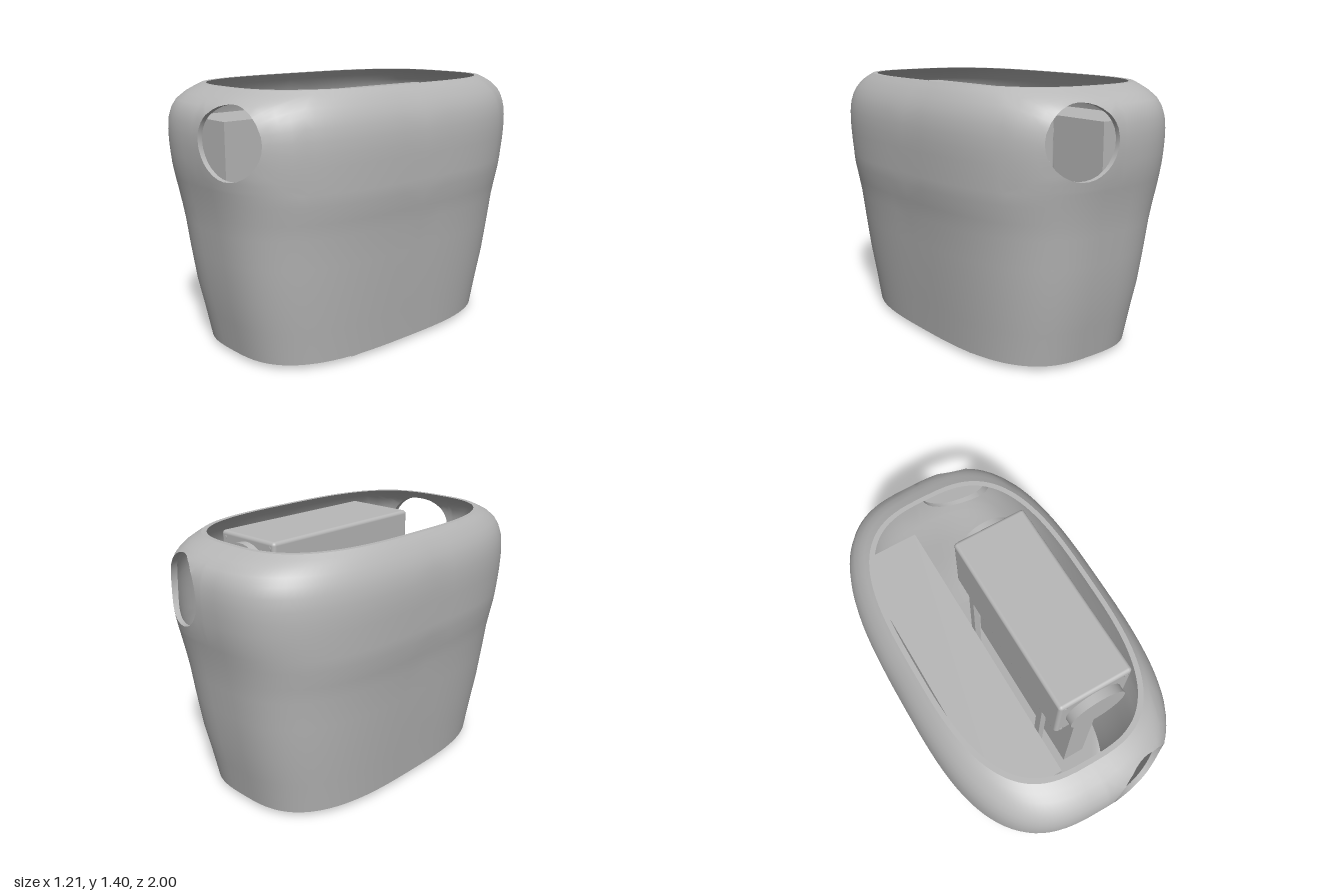
import * as THREE from 'three';
import { mergeVertices } from 'three/addons/utils/BufferGeometryUtils.js';
import { RoundedBoxGeometry } from 'three/addons/geometries/RoundedBoxGeometry.js';

// Housing cross-sections: height, half width, half depth
const ROWS = [
  [0.025, 0.49, 0.815], [0.2, 0.51, 0.85], [0.36, 0.53, 0.885], [0.55, 0.55, 0.912], [0.7, 0.566, 0.93],
  [0.78, 0.58, 0.942], [0.87, 0.596, 0.958], [0.93, 0.599, 0.972], [1.0, 0.601, 0.986], [1.06, 0.603, 0.993],
  [1.12, 0.604, 0.998], [1.18, 0.601, 1.0], [1.24, 0.593, 0.996], [1.29, 0.576, 0.983], [1.33, 0.556, 0.958],
  [1.365, 0.533, 0.91], [1.385, 0.517, 0.868], [1.405, 0.5, 0.82],
];
const POWER = 3, WALL = 0.025, STEPS = 48;
const PORT = { x: 0.225, y: 1.165, r: 0.18 };
const PATCH = { i0: 10, i1: 24, j0: 7, j1: 16 }; // grid cells replaced around a port

function halfSizes(y, inset) {
  let k = 0;
  while (k < ROWS.length - 2 && y > ROWS[k + 1][0]) k++;
  const [y0, a0, b0] = ROWS[k], [y1, a1, b1] = ROWS[k + 1];
  const t = (y - y0) / (y1 - y0);
  return [a0 + (a1 - a0) * t - inset, b0 + (b1 - b0) * t - inset];
}

// Point on the front half of the wall from x and height
function wallPoint(x, y, inset) {
  const [a, b] = halfSizes(y, inset);
  const q = Math.min(1, Math.abs(x) / a);
  return [x, y, b * Math.pow(Math.max(0, 1 - q ** POWER), 1 / POWER)];
}

// Point on the wall from angle step and row
function gridPoint(i, j, inset) {
  const y = ROWS[j][0], [a, b] = halfSizes(y, inset);
  const c = i === STEPS / 2 ? 0 : Math.cos((i / STEPS) * Math.PI);
  const s = i === 0 || i === STEPS ? 0 : Math.sin((i / STEPS) * Math.PI);
  return [Math.sign(c) * a * Math.abs(c) ** (2 / POWER), y, b * s ** (2 / POWER)];
}

// Collects patches for the front half and mirrors each to the back
function makeSurface() {
  const pos = [];
  const tri = (p, q, r) => {
    pos.push(...p, ...q, ...r);
    for (const v of [p, r, q]) pos.push(v[0], v[1], -v[2]);
  };
  return {
    quad(p00, p10, p11, p01, flip) {
      if (flip) [p10, p01] = [p01, p10];
      tri(p00, p10, p11);
      tri(p00, p11, p01);
    },
    geometry() {
      const g = new THREE.BufferGeometry();
      g.setAttribute('position', new THREE.Float32BufferAttribute(pos, 3));
      const merged = mergeVertices(g, 1e-4);
      merged.computeVertexNormals();
      return merged;
    },
  };
}

// Grid steps around the rim of the port patch
function patchLoop() {
  const { i0, i1, j0, j1 } = PATCH, loop = [];
  for (let i = i0; i < i1; i++) loop.push([i, j1]);
  for (let j = j1; j > j0; j--) loop.push([i1, j]);
  for (let i = i1; i > i0; i--) loop.push([i, j0]);
  for (let j = j0; j < j1; j++) loop.push([i0, j]);
  return loop;
}
const LOOP = patchLoop();
const PORT_XY = LOOP.map(([i, j]) => {
  const p = gridPoint(i, j, 0);
  const t = Math.atan2(p[1] - PORT.y, p[0] - PORT.x);
  return [PORT.x + PORT.r * Math.cos(t), PORT.y + PORT.r * Math.sin(t)];
});

function wallGeometry(inset, flip) {
  const s = makeSurface();
  const P = (i, j) => gridPoint(i, j, inset);
  for (let i = 0; i < STEPS; i++) for (let j = 0; j < ROWS.length - 1; j++) {
    if (i >= PATCH.i0 && i < PATCH.i1 && j >= PATCH.j0 && j < PATCH.j1) continue;
    s.quad(P(i, j), P(i, j + 1), P(i + 1, j + 1), P(i + 1, j), flip);
  }
  // Rings blending the round port into the wall grid
  const RINGS = 4;
  const R = (k, n) => {
    n %= LOOP.length;
    const edge = P(...LOOP[n]), t = k / RINGS;
    if (k === RINGS) return edge;
    const [hx, hy] = PORT_XY[n];
    return wallPoint(hx + (edge[0] - hx) * t, hy + (edge[1] - hy) * t, inset);
  };
  for (let k = 0; k < RINGS; k++) for (let n = 0; n < LOOP.length; n++)
    s.quad(R(k, n), R(k + 1, n), R(k + 1, n + 1), R(k, n + 1), flip);
  return s.geometry();
}

// Flat rim joining the outer and inner wall at one row
function rimGeometry(j, flip) {
  const s = makeSurface();
  for (let i = 0; i < STEPS; i++)
    s.quad(gridPoint(i, j, 0), gridPoint(i, j, WALL), gridPoint(i + 1, j, WALL), gridPoint(i + 1, j, 0), flip);
  return s.geometry();
}

// Cut edge of the ports through the wall
function portEdgeGeometry() {
  const s = makeSurface();
  const H = (n, inset) => wallPoint(...PORT_XY[n % LOOP.length], inset);
  for (let n = 0; n < LOOP.length; n++)
    s.quad(H(n, 0), H(n + 1, 0), H(n + 1, WALL), H(n, WALL), true);
  return s.geometry();
}

// Upright loop bracket, drawn in depth and height
function bracketGeometry(thickness) {
  const outline = (path, w, y0, y1, c) => {
    path.moveTo(-w + c, y0).lineTo(w - c, y0).quadraticCurveTo(w, y0, w, y0 + c);
    path.lineTo(w, y1).lineTo(-w, y1).lineTo(-w, y0 + c).quadraticCurveTo(-w, y0, -w + c, y0);
    return path;
  };
  const shape = outline(new THREE.Shape(), 0.39, 0, 1.0, 0.035);
  shape.holes.push(outline(new THREE.Path(), 0.345, 0.045, 0.95, 0.02));
  const g = new THREE.ExtrudeGeometry(shape, { depth: thickness, bevelEnabled: false, curveSegments: 5 });
  return g.translate(0, 0, -thickness / 2).rotateY(Math.PI / 2);
}

export function createModel() {
  const model = new THREE.Group();
  model.name = 'housingWithMotor';
  const grey = new THREE.MeshStandardMaterial({ color: 0xb8b8b8 });
  grey.name = 'plainGrey';
  grey.side = THREE.DoubleSide;
  const add = (name, geometry, x = 0, y = 0, z = 0) => {
    const mesh = new THREE.Mesh(geometry, grey);
    mesh.name = name;
    mesh.position.set(x, y, z);
    model.add(mesh);
    return mesh;
  };

  // Hollow housing
  add('outerWall', wallGeometry(0, false));
  add('innerWall', wallGeometry(WALL, true));
  add('topRim', rimGeometry(ROWS.length - 1, true));
  add('bottomRim', rimGeometry(0, false));
  add('portEdges', portEdgeGeometry());

  // Long side box
  add('sideBox', new THREE.BoxGeometry(0.345, 0.415, 1.5), -0.278, 1.008, 0);

  // Motor box with round end caps and corner screws
  add('motorBox', new RoundedBoxGeometry(0.42, 0.4, 1.05, 3, 0.02), PORT.x, 1.155, -0.003);
  add('endCaps', new THREE.CylinderGeometry(0.16, 0.16, 1.14, 48).rotateX(Math.PI / 2), PORT.x, PORT.y, 0);
  const screw = new THREE.CylinderGeometry(0.012, 0.012, 1.056, 10).rotateX(Math.PI / 2);
  for (const sx of [-1, 1]) for (const sy of [-1, 1])
    add('cornerScrews', screw, PORT.x + sx * 0.175, 1.155 + sy * 0.165, -0.003);

  // Stem and loop brackets carrying the motor box
  add('stem', new THREE.BoxGeometry(0.14, 0.88, 1.05), 0.215, 0.53, -0.003);
  const bracket = bracketGeometry(0.035);
  for (const x of [0.033, 0.422]) add('footBracket', bracket, x);

  return model;
}
